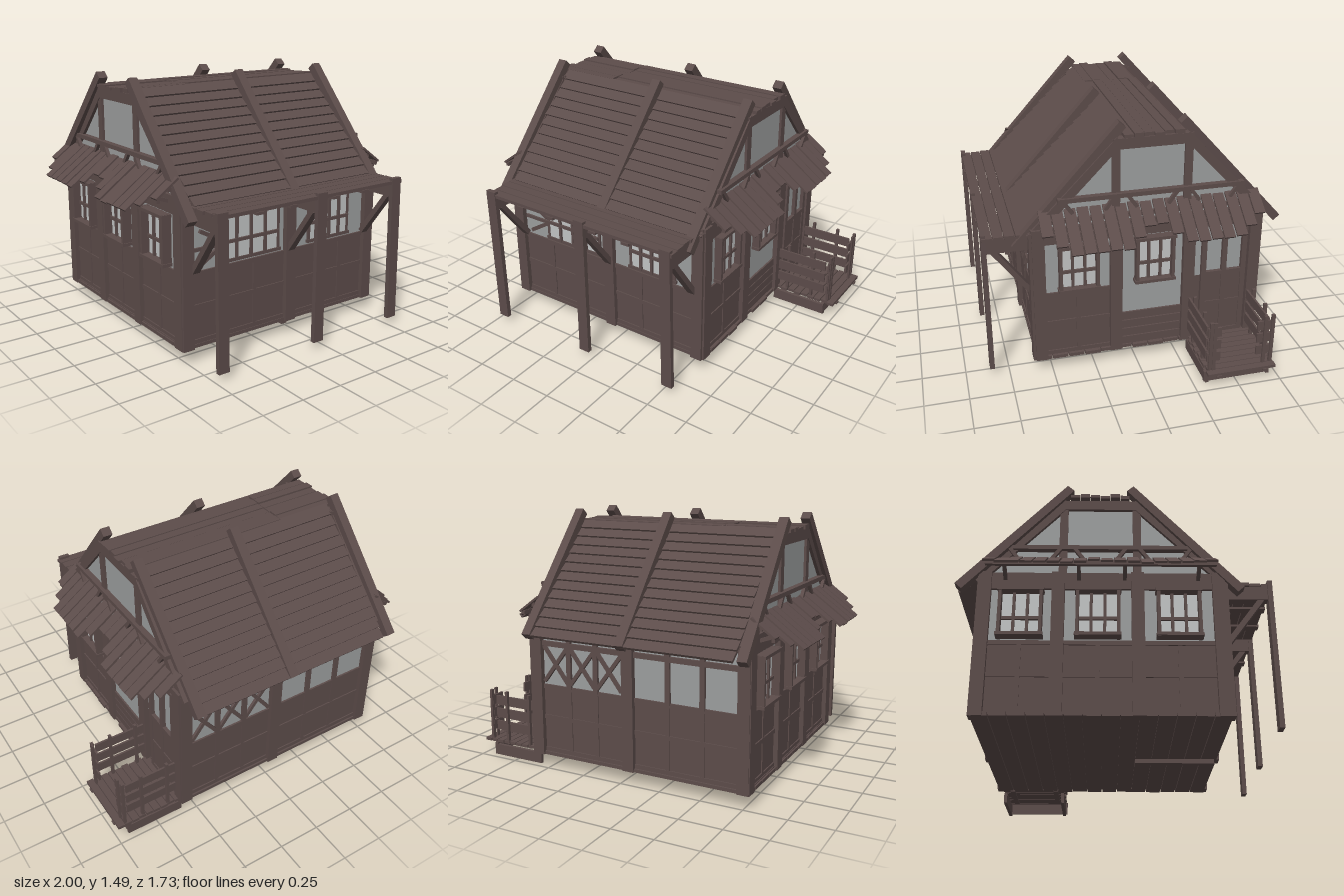
import * as THREE from 'three';

export function createModel() {
  const model = new THREE.Group();
  const wood = new THREE.MeshStandardMaterial({ color: 0x5c4c4a });
  wood.name = 'dark wood';
  const glass = new THREE.MeshStandardMaterial({ color: 0x9c9e9e });
  glass.name = 'grey glass';
  glass.side = THREE.DoubleSide;
  const pane = new THREE.MeshStandardMaterial({ color: 0xc2c4c4 });
  pane.name = 'pale window pane';

  // seeded wobble for hand-cut timber
  let seed = 7;
  const wob = (a) => {
    seed = (seed * 16807) % 2147483647;
    return (seed / 2147483647 - 0.5) * 2 * a;
  };
  const group = (name, parent = model) => {
    const g = new THREE.Group();
    g.name = name;
    parent.add(g);
    return g;
  };
  // box given by its limits
  const box = (p, name, x0, x1, y0, y1, z0, z1, mat = wood) => {
    const m = new THREE.Mesh(new THREE.BoxGeometry(x1 - x0, y1 - y0, z1 - z0), mat);
    m.position.set((x0 + x1) / 2, (y0 + y1) / 2, (z0 + z1) / 2);
    m.name = name;
    p.add(m);
    return m;
  };
  // timber between two points, w across x and d across z before turning
  const beam = (p, name, a, b, w, d) => {
    const A = new THREE.Vector3(...a), B = new THREE.Vector3(...b);
    const dir = B.clone().sub(A);
    const m = new THREE.Mesh(new THREE.BoxGeometry(w, dir.length(), d), wood);
    m.position.copy(A).add(B).multiplyScalar(0.5);
    m.quaternion.setFromUnitVectors(new THREE.Vector3(0, 1, 0), dir.normalize());
    m.name = name;
    p.add(m);
    return m;
  };

  // walls are built facing +z and then turned into place
  const wall = (name, x, z, turn) => {
    const g = group(name);
    g.position.set(x, 0, z);
    g.rotation.y = turn;
    return g;
  };
  const post = (g, u, y1 = 0.9, w = 0.07) =>
    box(g, 'wallPost', u - w / 2, u + w / 2, 0.08, y1, -0.035, 0.035).rotation.z = wob(0.006);
  const panel = (g, u0, u1, y1 = 0.51) => {
    box(g, 'lowerPanel', u0, u1, 0.09, y1, -0.015, 0.008);
    for (const y of [0.1, 0.3, y1 - 0.025]) box(g, 'panelRail', u0, u1, y, y + 0.025, 0, 0.015);
    const n = Math.max(2, Math.round((u1 - u0) / 0.2));
    for (let i = 1; i < n; i++) {
      const u = u0 + (u1 - u0) * i / n;
      box(g, 'panelBatten', u - 0.012, u + 0.012, 0.1, y1, 0, 0.014);
    }
  };
  const glazing = (g, u0, u1, y0, y1) => box(g, 'wallGlass', u0, u1, y0, y1, -0.004, 0.004, glass);
  const windowFrame = (g, u0, u1, y0, y1, out, bars) => {
    const w = group('window', g);
    box(w, 'windowPane', u0, u1, y0, y1, 0.006, 0.012, pane);
    for (const u of [u0, u1]) box(w, 'windowStile', u - 0.009, u + 0.009, y0 - 0.01, y1 + 0.01, -0.01, out);
    for (const y of [y0, y1]) box(w, 'windowRail', u0 - 0.015, u1 + 0.015, y - 0.009, y + 0.009, -0.01, out + 0.005);
    for (let i = 1; i <= bars; i++) {
      const u = u0 + (u1 - u0) * i / (bars + 1);
      box(w, 'windowMullion', u - 0.008, u + 0.008, y0, y1, 0.005, 0.025);
    }
    box(w, 'windowMuntin', u0, u1, y0 + 0.1, y0 + 0.118, 0.005, 0.025);
  };
  const cross = (g, u0, u1, y0, y1) => {
    beam(g, 'crossBrace', [u0, y0, 0.012], [u1, y1, 0.012], 0.022, 0.016);
    beam(g, 'crossBrace', [u0, y1, 0.012], [u1, y0, 0.012], 0.022, 0.014);
  };

  // front wall
  const front = wall('frontWall', 0, 0.575, 0);
  for (const u of [-0.745, -0.05, 0.56]) post(front, u);
  box(front, 'frontHeader', -0.78, 0.6, 0.79, 0.9, -0.03, 0.02);
  for (const [u0, u1, a, b] of [[-0.71, -0.085, -0.52, -0.13], [-0.015, 0.525, 0.1, 0.4]]) {
    panel(front, u0, u1);
    glazing(front, u0, u1, 0.51, 0.8);
    windowFrame(front, a, b, 0.53, 0.79, 0.015, 3);
  }
  beam(front, 'frontBrace', [-0.66, 0.73, 0.012], [-0.53, 0.66, 0.012], 0.022, 0.016);
  beam(front, 'frontBrace', [-0.66, 0.54, 0.012], [-0.53, 0.62, 0.012], 0.022, 0.016);
  box(front, 'frontRail', -0.7, -0.52, 0.62, 0.64, 0, 0.016);

  // back wall: crossed windows on one half, plain on the other
  const back = wall('backWall', 0, -0.715, Math.PI);
  for (const u of [-0.56, 0.05, 0.745]) post(back, u);
  box(back, 'backHeader', -0.6, 0.78, 0.84, 0.92, -0.03, 0.02);
  for (const [u0, u1, crossed] of [[-0.525, 0.015, true], [0.085, 0.71, false]]) {
    panel(back, u0, u1);
    glazing(back, u0, u1, 0.51, 0.85);
    for (let i = 0; i < 3; i++) {
      const s = (u1 - u0) / 3, a = u0 + i * s;
      if (i) box(back, 'backMullion', a - 0.015, a + 0.015, 0.5, 0.86, -0.01, 0.02);
      if (crossed) cross(back, a + 0.01, a + s - 0.01, 0.53, 0.74);
    }
    box(back, 'backTransom', u0, u1, 0.74, 0.77, -0.01, 0.02);
  }

  // gable walls share posts, header and upper glass
  const gable = (g, s) => {
    for (const u of [-0.56, -0.12, 0.31, 0.71]) post(g, u * s, 0.92);
    const lo = Math.min(-0.6 * s, 0.74 * s);
    box(g, 'sideHeader', lo, lo + 1.34, 0.82, 0.92, -0.03, 0.02);
    const shape = new THREE.Shape([[-0.6, 0.88], [0.75, 0.88], [0.25, 1.4], [-0.1, 1.4]].map(([u, y]) => new THREE.Vector2(u * s, y)));
    const m = new THREE.Mesh(new THREE.ShapeGeometry(shape), glass);
    m.name = 'gableGlass';
    g.add(m);
    for (const u of [-0.12, 0.29]) box(g, 'gablePost', u * s - 0.023, u * s + 0.023, 0.9, 1.4, -0.02, 0.015);
    const c = 0.085 * s;
    box(g, 'gableTopBeam', c - 0.22, c + 0.22, 1.34, 1.4, -0.03, 0.02);
    box(g, 'awningBeam', c - 0.53, c + 0.53, 1.065, 1.09, 0, 0.035);
    beam(g, 'gableRafter', [-0.6 * s, 0.87, 0], [-0.1 * s, 1.39, 0], 0.05, 0.04);
    beam(g, 'gableRafter', [0.76 * s, 0.87, 0], [0.27 * s, 1.39, 0], 0.05, 0.04);
    for (let i = 0; i < 6; i++) {
      const u = c + (i - 2.5) * 0.18, t = i % 2 ? 0.05 : -0.05;
      beam(g, 'awningStrut', [u, 1.0, 0.025], [u + t, 1.07, 0.025], 0.02, 0.02);
    }
  };

  // right-hand wall with the door
  const right = wall('doorWall', 0.57, 0, Math.PI / 2);
  gable(right, 1);
  panel(right, -0.525, -0.155);
  glazing(right, -0.525, -0.155, 0.51, 0.83);
  windowFrame(right, -0.44, -0.23, 0.53, 0.8, 0.05, 2);
  for (let i = 0; i < 4; i++) box(right, 'slat', -0.085, 0.275, 0.1 + i * 0.056, 0.15 + i * 0.056, -0.01, 0.015);
  box(right, 'slatBacking', -0.085, 0.275, 0.09, 0.3, -0.02, 0.002);
  glazing(right, -0.085, 0.275, 0.3, 0.83);
  windowFrame(right, 0, 0.21, 0.53, 0.8, 0.05, 2);
  glazing(right, 0.34, 0.68, 0.5, 0.85);
  box(right, 'doorSidePanel', 0.34, 0.68, 0.09, 0.51, -0.02, 0.002);
  box(right, 'doorLeaf', 0.415, 0.645, 0.1, 0.51, -0.01, 0.02);
  for (const u of [0.405, 0.53, 0.65]) box(right, 'doorStile', u - 0.015, u + 0.015, 0.1, 0.85, -0.01, 0.026);
  for (const y of [0.1, 0.3, 0.5]) box(right, 'doorRail', 0.4, 0.65, y, y + 0.025, 0, 0.026);

  // left-hand wall with three glazed bays
  const left = wall('plainSideWall', -0.75, 0, -Math.PI / 2);
  gable(left, -1);
  for (const [u0, u1] of [[-0.675, -0.345], [-0.275, 0.085], [0.155, 0.525]]) {
    panel(left, u0, u1);
    glazing(left, u0, u1, 0.51, 0.83);
    const c = (u0 + u1) / 2;
    windowFrame(left, c - 0.11, c + 0.11, 0.53, 0.8, 0.06, 2);
  }

  // floor boards
  const floor = group('floor');
  for (let i = 0; i < 14; i++) {
    const z = -0.74 + i * 0.0957;
    box(floor, 'floorBoard', -0.78, 0.6 + wob(0.01), 0.08, 0.1, z, z + 0.09);
  }
  box(floor, 'subfloor', -0.77, 0.58, 0.09, 0.105, -0.73, 0.59);
  box(floor, 'floorJoist', -0.09, -0.05, 0.055, 0.08, 0.12, 0.58);

  // roof: lapped boards on both slopes, flat boards on top, rafters over them
  const roof = group('roof');
  const slope = (z0, y0, z1, y1, n) => {
    const len = Math.hypot(z1 - z0, y1 - y0) / n;
    const ang = Math.atan2(y1 - y0, Math.abs(z1 - z0)) * Math.sign(z0 - z1);
    for (let i = 0; i < n; i++) {
      const t = (i + 0.5) / n;
      const b = box(roof, 'roofBoard', -0.73 + wob(0.008), 0.545 + wob(0.008), -0.008, 0.008, -len * 0.56, len * 0.56);
      b.position.y = y0 + (y1 - y0) * t;
      b.position.z = z0 + (z1 - z0) * t;
      b.rotation.x = ang - Math.sign(ang) * 0.17;
    }
  };
  slope(0.63, 0.88, 0.08, 1.425, 12);
  slope(-0.85, 0.82, -0.25, 1.425, 13);
  for (let i = 0; i < 6; i++) {
    const z = -0.255 + i * 0.0565;
    const split = -0.39;
    box(roof, 'topBoard', -0.79 + wob(0.01), split - 0.004, 1.405, 1.425 + wob(0.005), z, z + 0.053);
    box(roof, 'topBoard', split + 0.004, 0.595 + wob(0.01), 1.405, 1.425 + wob(0.005), z, z + 0.053);
  }
  for (const x of [-0.76, -0.05, 0.555]) {
    beam(roof, 'rafter', [x - 0.01, 0.81, 0.68], [x, 1.475, 0.085], 0.055, 0.05);
    beam(roof, 'rafter', [x - 0.02, 0.815, -0.85], [x, 1.475, -0.255], 0.055, 0.05);
  }

  // front canopy on three braced posts
  const canopy = group('canopy');
  for (let i = 0; i < 4; i++) {
    const z = 0.615 + i * 0.062;
    box(canopy, 'canopyBoard', -0.73 + wob(0.01), 0.565 + wob(0.01), 0.865, 0.885, z, z + 0.057);
  }
  for (const x of [-0.7, -0.05, 0.525]) {
    box(canopy, 'canopyPost', x - 0.033, x + 0.033, 0.04, 0.9, 0.835, 0.862).rotation.z = wob(0.015);
    box(canopy, 'canopyBearer', x - 0.025, x + 0.025, 0.785, 0.865, 0.59, 0.84);
    beam(canopy, 'canopyBrace', [x, 0.52, 0.6], [x, 0.79, 0.8], 0.045, 0.03);
  }
  for (const x of [-0.47, -0.25, 0.05, 0.27]) box(canopy, 'canopyBatten', x - 0.025, x + 0.025, 0.852, 0.868, 0.6, 0.865);

  // side awnings, each of two plank sections with clipped corners
  for (const [s, base] of [[1, 0.56], [-1, -0.76]]) {
    const awning = group(s > 0 ? 'doorAwning' : 'plainSideAwning');
    for (let i = 0; i < 18; i++) {
      const z = -0.685 + i * 0.0708;
      const k = i % 9, edge = Math.min(k, 8 - k);
      const f = [0.56, 0.8, 1][Math.min(edge, 2)];
      const plank = beam(awning, 'awningPlank', [base, 1.02, z], [base + s * 0.235 * f, 1.02 - 0.17 * f, z], 0.012, 0.062);
      plank.position.y += wob(0.004);
    }
    for (const t of [0.2, 0.5]) {
      const x = base + s * 0.235 * t, y = 1.0 - 0.17 * t;
      box(awning, 'awningBatten', x - 0.01, x + 0.01, y - 0.012, y + 0.012, -0.7, 0.54);
    }
    for (const z of [-0.6, -0.2, 0.05, 0.45]) beam(awning, 'awningBracket', [base, 0.88, z], [base + s * 0.12, 0.925, z], 0.02, 0.02);
  }

  // side porch with step skirt and railings
  const porch = group('porch');
  for (let i = 0; i < 9; i++) {
    const x = 0.585 + i * 0.046;
    box(porch, 'porchBoard', x, x + 0.041, 0.083, 0.1, -0.715 + wob(0.008), -0.32 + wob(0.008));
  }
  box(porch, 'porchBatten', 0.58, 1.0, 0.075, 0.086, -0.39, -0.36);
  box(porch, 'porchBatten', 0.58, 1.0, 0.075, 0.086, -0.67, -0.64);
  for (const z of [-0.7, -0.33]) box(porch, 'skirt', 0.58, 0.93, 0, 0.065, z - 0.01, z + 0.01);
  box(porch, 'outerSkirt', 0.91, 0.93, 0.01, 0.075, -0.71, -0.31);
  for (const z of [-0.7, -0.335]) {
    for (const x of [0.665, 0.83, 0.945]) box(porch, 'railPost', x - 0.008, x + 0.008, 0.08, 0.41, z - 0.01, z + 0.01);
    for (const y of [0.155, 0.235, 0.315]) box(porch, 'railBoard', 0.6, 0.92, y, y + 0.058, z + 0.008, z + 0.02);
  }
  for (const [z0, z1] of [[-0.7, -0.61], [-0.395, -0.315]]) {
    for (const y of [0.155, 0.235, 0.315]) box(porch, 'outerRailBoard', 0.935, 0.947, y, y + 0.058, z0, z1);
    box(porch, 'outerRailPost', 0.945, 0.957, 0.09, 0.41, (z0 + z1) / 2 - 0.01, (z0 + z1) / 2 + 0.01);
  }
  return model;
}
